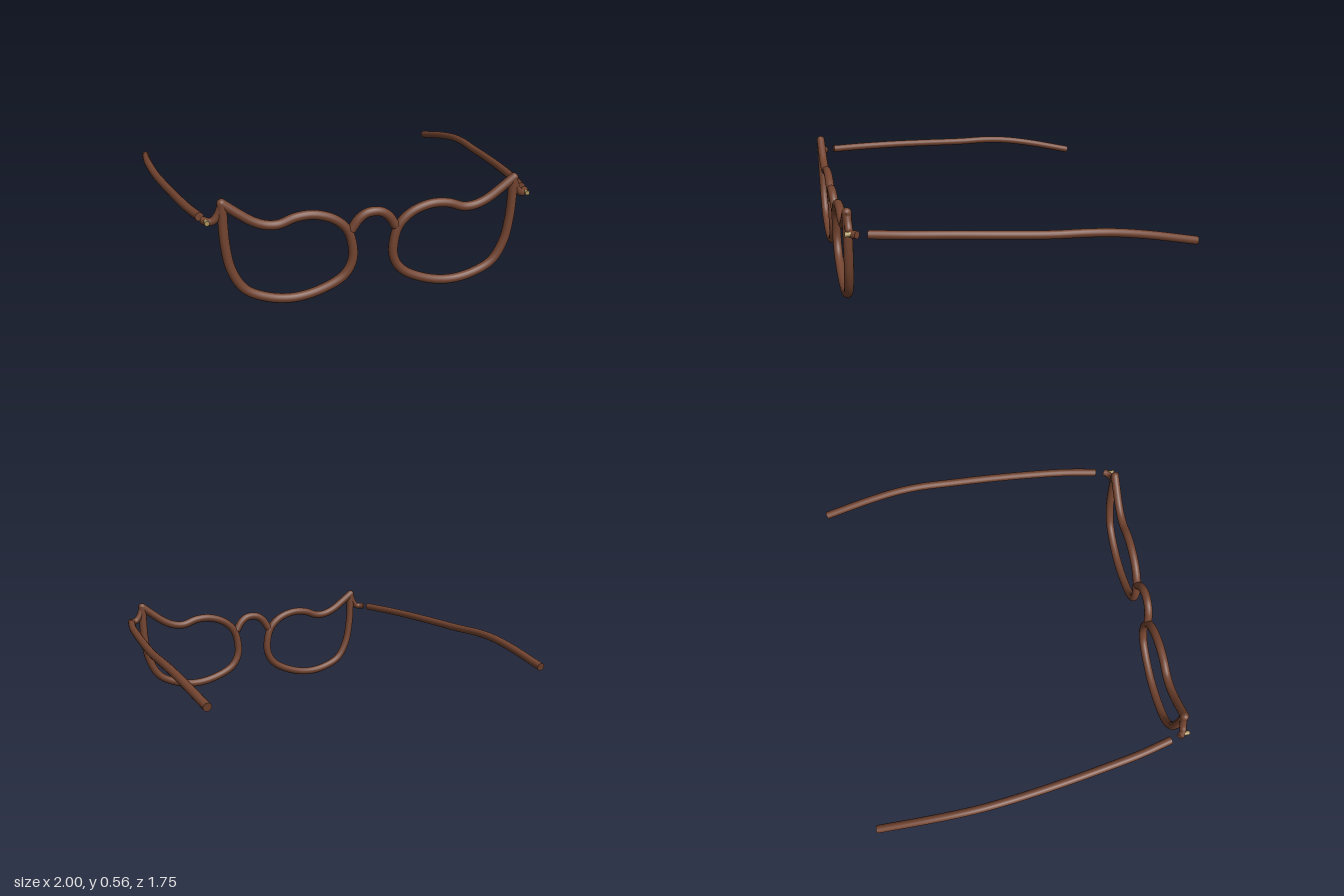
import * as THREE from 'three';

const brown = new THREE.MeshStandardMaterial({ color: 0x72432f });
brown.name = 'brown frame';
const brass = new THREE.MeshStandardMaterial({ color: 0xa8925c });
brass.name = 'brass pin';

const curve = (pts) => new THREE.CatmullRomCurve3(pts.map((p) => new THREE.Vector3(...p)), false, 'centripetal');

// Round bar along a smooth curve, with flat caps on both ends
function bar(name, pts, radius, segments) {
  const group = new THREE.Group();
  group.name = name;
  const path = curve(pts);
  group.add(new THREE.Mesh(new THREE.TubeGeometry(path, segments, radius, 16), brown));
  for (const t of [0, 1]) {
    const cap = new THREE.Mesh(new THREE.CircleGeometry(radius, 16), brown);
    cap.position.copy(path.getPointAt(t));
    const outward = path.getTangentAt(t).multiplyScalar(t ? 1 : -1);
    cap.quaternion.setFromUnitVectors(new THREE.Vector3(0, 0, 1), outward);
    group.add(cap);
  }
  return group;
}

function ball(name, x, y, z, radius, material) {
  const mesh = new THREE.Mesh(new THREE.SphereGeometry(radius, 16, 12), material);
  mesh.name = name;
  mesh.position.set(x, y, z);
  return mesh;
}

export function createModel() {
  const model = new THREE.Group();
  model.name = 'glasses';
  const Z = 0.84;

  for (const s of [1, -1]) {
    const side = s > 0 ? 'left' : 'right';

    // Rim: one loop that starts and ends at the pointed outer corner
    const rim = [
      [0.742, 0.541], [0.67, 0.487], [0.6, 0.44], [0.535, 0.415], [0.475, 0.412], [0.39, 0.439],
      [0.3, 0.443], [0.2, 0.41], [0.135, 0.35], [0.108, 0.27], [0.108, 0.185], [0.15, 0.112],
      [0.27, 0.05], [0.41, 0.025], [0.54, 0.046], [0.645, 0.1], [0.705, 0.2], [0.732, 0.33], [0.742, 0.541],
    ].map(([x, y]) => [s * x, y, Z]);
    model.add(bar(side + 'Rim', rim, 0.0235, 160));
    model.add(ball(side + 'Corner', s * 0.742, 0.541, Z, 0.0235, brown));

    // End piece: short arm dropping from the corner and turning back
    model.add(bar(side + 'EndPiece', [
      [s * 0.742, 0.538, Z], [s * 0.762, 0.485, Z - 0.003], [s * 0.785, 0.458, Z - 0.005],
      [s * 0.806, 0.454, 0.828], [s * 0.828, 0.456, 0.805],
    ], 0.019, 32));

    // Small decorative pin on the front of the end piece
    const pin = new THREE.Mesh(new THREE.CylinderGeometry(0.012, 0.012, 0.032, 14), brass);
    pin.name = side + 'Pin';
    pin.rotation.x = Math.PI / 2;
    pin.position.set(s * 0.815, 0.457, 0.846);
    model.add(pin);

    // Temple: bowed outward, dropping behind the ear
    model.add(bar(side + 'Temple', [
      [s * 0.835, 0.456, 0.755], [s * 0.874, 0.451, 0.58], [s * 0.908, 0.444, 0.36], [s * 0.938, 0.433, 0.13],
      [s * 0.962, 0.422, -0.1], [s * 0.976, 0.419, -0.29], [s * 0.978, 0.408, -0.43], [s * 0.972, 0.38, -0.6],
      [s * 0.955, 0.32, -0.872],
    ], 0.0215, 80));
  }

  // Bridge arching between the rims
  model.add(bar('bridge', [
    [-0.115, 0.345, Z], [-0.078, 0.4, Z + 0.004], [-0.04, 0.427, Z + 0.006], [0, 0.434, Z + 0.007],
    [0.04, 0.427, Z + 0.006], [0.078, 0.4, Z + 0.004], [0.115, 0.345, Z],
  ], 0.0235, 40));

  return model;
}
